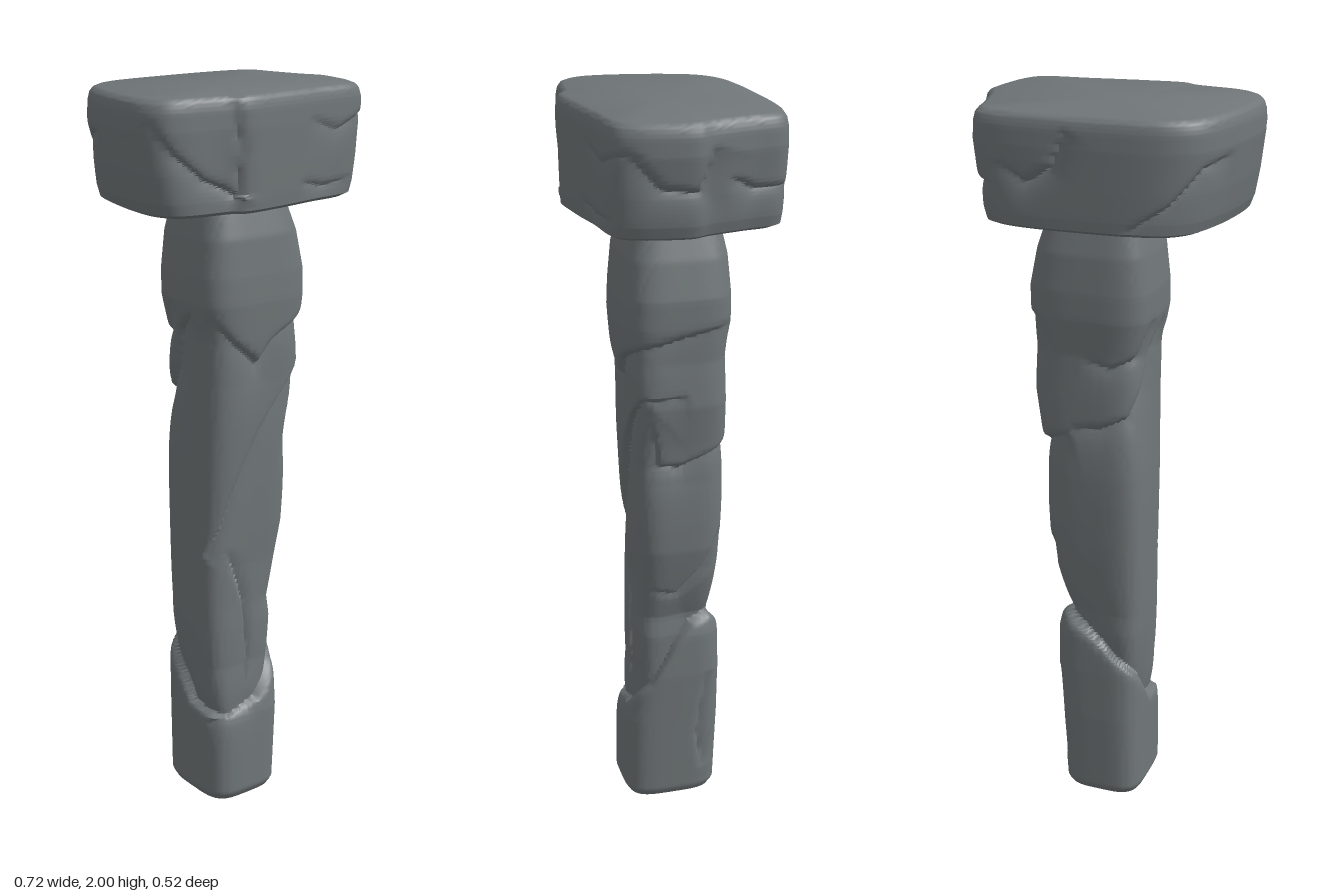
import * as THREE from 'three';
import { toCreasedNormals } from 'three/addons/utils/BufferGeometryUtils.js';

// Interpolate a table of rows [y, a, b, ...] at height y
function sample(table, y) {
  let i = 0;
  while (i < table.length - 2 && y > table[i + 1][0]) i++;
  const p = table[i], q = table[i + 1];
  const t = THREE.MathUtils.clamp((y - p[0]) / (q[0] - p[0]), 0, 1);
  return p.map((v, k) => v + (q[k] - v) * t);
}

const wrap = (d) => ((d + 540) % 360 + 360) % 360 - 180;

// Depth of one seam, a path of [angle, y]; the stone is sunk on the right-hand side of travel
function seamDepth(seam, angle, y, radius) {
  const k = radius * Math.PI / 180, n = seam.path.length - 1;
  let best = Infinity, side = 1, along = 0;
  for (let i = 0; i < n; i++) {
    const [a0, y0] = seam.path[i], [a1, y1] = seam.path[i + 1];
    const dx = (a1 - a0) * k, dy = y1 - y0;
    const px = wrap(angle - a0) * k, py = y - y0;
    const t = THREE.MathUtils.clamp((px * dx + py * dy) / (dx * dx + dy * dy), 0, 1);
    const d = Math.hypot(px - dx * t, py - dy * t);
    if (d < best - 1e-7) {
      best = d;
      side = dx * py - dy * px;
      along = (i + t) / n;
    }
  }
  const taper = seam.closed ? 1 : Math.sqrt(Math.max(0, Math.sin(Math.PI * along)));
  return seam.depth * taper * Math.exp(-best / (side < 0 ? seam.fall : 0.006));
}

// Closed stone skin through stacked sections, carved by seams
function carvedStone(section, y0, y1, rows, cols, seams, radius) {
  const pos = [], index = [];
  for (let j = 0; j <= rows; j++) {
    const y = y0 + (y1 - y0) * j / rows;
    for (let i = 0; i < cols; i++) {
      const [x, z] = section(i / cols, y);
      const angle = Math.atan2(x, z) * 180 / Math.PI;
      let cut = 0;
      for (const s of seams) cut = Math.max(cut, seamDepth(s, angle, y, radius));
      const f = 1 - cut / Math.hypot(x, z);
      pos.push(x * f, y, z * f);
    }
  }
  for (let j = 0; j < rows; j++) {
    for (let i = 0; i < cols; i++) {
      const a = j * cols + i, b = j * cols + (i + 1) % cols;
      index.push(a, b, b + cols, a, b + cols, a + cols);
    }
  }
  const bottom = pos.length / 3, top = bottom + 1, last = rows * cols;
  pos.push(0, y0, 0, 0, y1, 0);
  for (let i = 0; i < cols; i++) {
    const n = (i + 1) % cols;
    index.push(bottom, n, i, top, last + i, last + n);
  }
  const g = new THREE.BufferGeometry();
  g.setAttribute('position', new THREE.Float32BufferAttribute(pos, 3));
  g.setIndex(index);
  return toCreasedNormals(g, 0.6);
}

export function createModel() {
  const group = new THREE.Group();
  const stone = new THREE.MeshStandardMaterial({ color: 0x707678 });
  stone.name = 'grey stone';

  // Shaft: rows of y, x min, x max, z min, z max
  const shaftProfile = [
    [0, -0.1, 0.11, -0.12, 0.12], [0.02, -0.11, 0.12, -0.133, 0.132],
    [0.25, -0.11, 0.132, -0.14, 0.132], [0.4, -0.11, 0.14, -0.14, 0.108],
    [0.52, -0.112, 0.138, -0.137, 0.105], [0.58, -0.112, 0.125, -0.13, 0.102],
    [0.7, -0.112, 0.148, -0.132, 0.102], [0.8, -0.112, 0.165, -0.135, 0.108],
    [1.0, -0.112, 0.17, -0.14, 0.118], [1.12, -0.11, 0.183, -0.14, 0.125],
    [1.23, -0.11, 0.2, -0.138, 0.13], [1.35, -0.112, 0.198, -0.135, 0.14],
    [1.45, -0.13, 0.208, -0.147, 0.145], [1.52, -0.13, 0.208, -0.147, 0.142],
    [1.62, -0.12, 0.188, -0.14, 0.133], [1.69, -0.105, 0.165, -0.125, 0.115],
    [1.73, -0.09, 0.15, -0.11, 0.1],
  ];
  const shaftSection = (u, y) => {
    const [, x0, x1, z0, z1] = sample(shaftProfile, y);
    const s = Math.sin(u * 2 * Math.PI), c = Math.cos(u * 2 * Math.PI);
    const r = 1 / Math.pow(Math.abs(s) ** 4 + Math.abs(c) ** 4, 0.25);
    return [(x0 + x1) / 2 + (x1 - x0) / 2 * r * s, (z0 + z1) / 2 + (z1 - z0) / 2 * r * c];
  };
  const shaftSeams = [
    // slanted top of the foot block
    { closed: true, depth: 0.028, fall: 0.09, path: [[330, 0.26], [270, 0.28], [225, 0.4], [180, 0.5],
      [135, 0.58], [110, 0.56], [90, 0.5], [60, 0.38], [20, 0.29], [-30, 0.26]] },
    // hanging tongue on the front
    { depth: 0.02, fall: 0.03, path: [[-55, 0.24], [-35, 0.26], [0, 0.28], [10, 0.42], [0, 0.6], [-40, 0.8]] },
    // long diagonal across the front
    { depth: 0.03, fall: 0.05, path: [[-60, 0.74], [-40, 0.82], [-20, 0.92], [20, 1.08], [40, 1.16], [60, 1.25], [95, 1.26]] },
    // shoulder of the upper block
    { depth: 0.024, fall: 0.06, path: [[-50, 1.42], [-20, 1.34], [12, 1.28], [30, 1.34], [58, 1.39],
      [90, 1.42], [130, 1.45]] },
    // boss and dents on the left side
    { depth: 0.03, fall: 0.05, path: [[65, 1.22], [70, 1.06], [90, 1.05], [115, 1.08], [150, 1.13]] },
    { depth: 0.018, fall: 0.04, path: [[60, 0.68], [90, 0.66], [115, 0.74], [130, 0.85]] },
    // wrapped fold at the back
    { depth: 0.028, fall: 0.06, path: [[150, 1.14], [185, 1.15], [215, 1.18], [235, 1.26], [250, 1.36], [285, 1.42]] },
    { depth: 0.015, fall: 0.03, path: [[165, 1.34], [195, 1.32], [225, 1.35], [245, 1.45]] },
    // split in the foot
    { depth: 0.014, fall: 0.02, path: [[125, 0.08], [118, 0.2], [125, 0.4]] },
  ];
  const shaft = new THREE.Mesh(carvedStone(shaftSection, 0, 1.73, 230, 112, shaftSeams, 0.15), stone);
  shaft.name = 'pillarShaft';
  group.add(shaft);

  // Capstone: plan outline, then rows of y, x scale, z scale
  const outline = new THREE.CatmullRomCurve3([
    [-0.36, 0.1], [-0.352, 0.16], [-0.325, 0.2], [-0.28, 0.22], [-0.155, 0.238], [-0.12, 0.257], [0, 0.248],
    [0.15, 0.225], [0.3, 0.2], [0.33, 0.16], [0.355, 0.06], [0.358, 0], [0.342, -0.03], [0.31, -0.14],
    [0.287, -0.23], [0.23, -0.253], [0, -0.257], [-0.22, -0.23], [-0.29, -0.18], [-0.335, -0.07],
  ].map(([x, z]) => new THREE.Vector3(x, 0, z)), true).getSpacedPoints(144);
  const capProfile = [
    [1.71, 0.84, 0.9], [1.72, 0.9, 0.97], [1.75, 0.93, 0.98], [1.82, 0.965, 0.99], [1.92, 1, 1],
    [1.965, 0.995, 0.995], [1.985, 0.98, 0.98], [1.995, 0.955, 0.955], [2, 0.92, 0.91],
  ];
  const capSection = (u, y) => {
    const [, sx, sz] = sample(capProfile, y);
    const p = outline[Math.round(u * 144)];
    return [p.x * sx, p.z * sz];
  };
  const capSeams = [
    // chipped front corner
    { depth: 0.018, fall: 0.025, path: [[-64, 1.95], [-56, 1.87], [-45, 1.8], [-30, 1.76], [-27, 1.86], [-32, 1.99]] },
    { depth: 0.012, fall: 0.025, path: [[25, 1.93], [45, 1.89], [56, 1.92], [68, 1.92]] },
    { depth: 0.012, fall: 0.02, path: [[20, 1.77], [38, 1.75], [54, 1.76]] },
    // notches on the left end
    { depth: 0.025, fall: 0.04, path: [[60, 1.94], [74, 1.84], [90, 1.83], [97, 1.94]] },
    { depth: 0.02, fall: 0.03, path: [[105, 1.86], [118, 1.82], [135, 1.82]] },
    // cracks round the back
    { depth: 0.02, fall: 0.03, path: [[138, 1.88], [150, 1.83], [162, 1.87], [172, 1.97]] },
    { depth: 0.016, fall: 0.03, path: [[205, 1.72], [225, 1.79], [240, 1.88], [258, 1.9]] },
  ];
  const cap = new THREE.Mesh(carvedStone(capSection, 1.71, 2, 58, 144, capSeams, 0.3), stone);
  cap.name = 'capstone';
  group.add(cap);

  return group;
}
